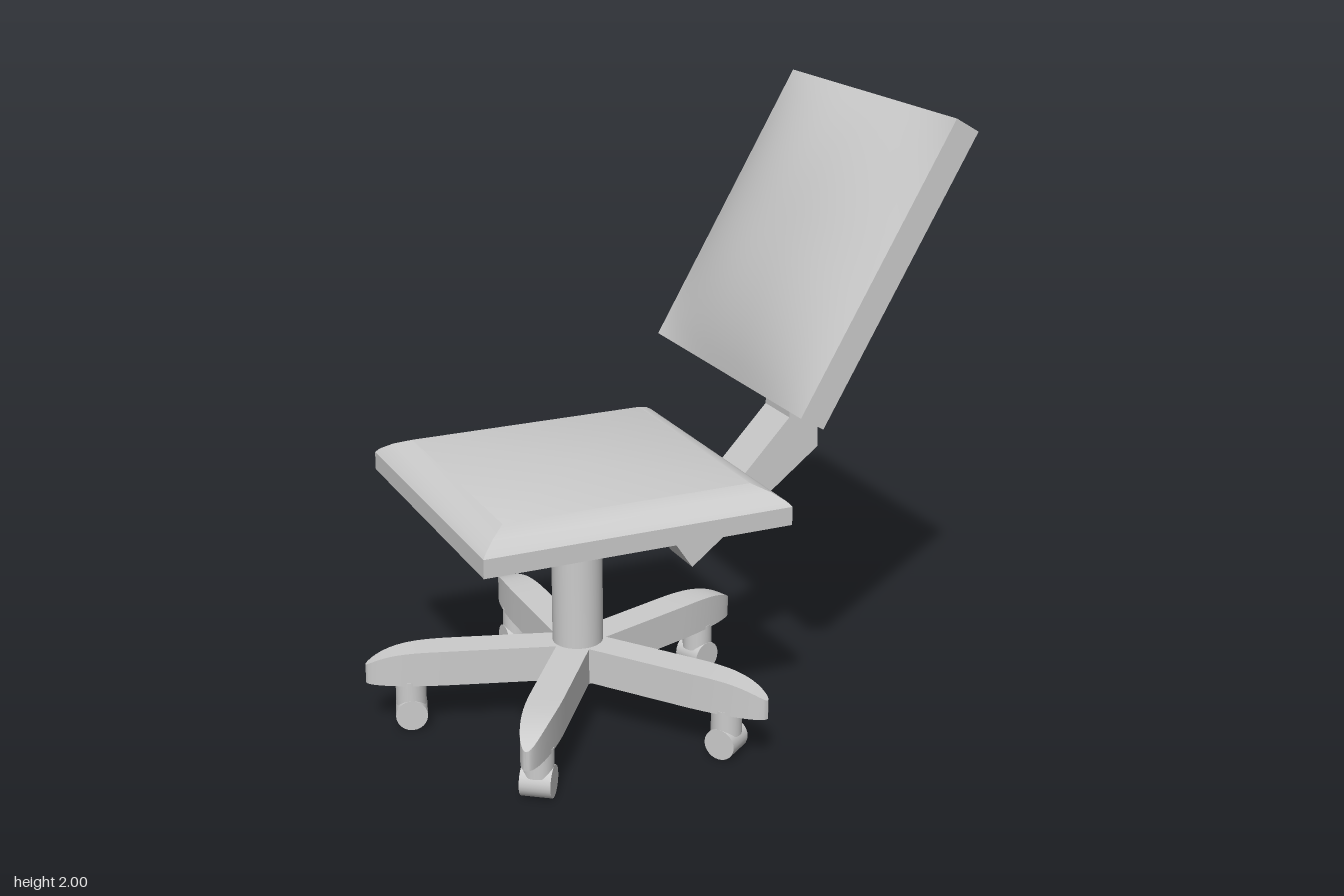
import * as THREE from 'three';
import { toCreasedNormals } from 'three/addons/utils/BufferGeometryUtils.js';

const CX = -0.23, CZ = 0.062; // axis of column, seat and base
const mat = new THREE.MeshStandardMaterial({ color: 0xcccccc });

function add(parent, name, geometry, x = 0, y = 0, z = 0) {
  const mesh = new THREE.Mesh(geometry, mat);
  mesh.name = name;
  mesh.position.set(x, y, z);
  parent.add(mesh);
  return mesh;
}

// Square cushion: profile of [half width, height] pairs, listed bottom to top
function squarePad(profile) {
  const pts = profile.map(([r, y]) => new THREE.Vector2(r * Math.SQRT2, y));
  return toCreasedNormals(new THREE.LatheGeometry(pts, 4, Math.PI / 4), 0.5);
}

// Base arm pointing to -z: flat bottom, top dropping to a rounded nose
function armGeometry() {
  const L = 0.695, n = 20;
  const g = new THREE.BoxGeometry(1, 1, 1, 2, 1, n);
  const p = g.attributes.position;
  for (let i = 0; i < p.count; i++) {
    const r = L * Math.sin((0.5 - p.getZ(i)) * Math.PI / 2);
    const nose = Math.max(0, (r - 0.42) / (L - 0.42));
    const half = 0.055 * Math.sqrt(Math.max(0, 1 - nose * nose));
    const drop = 0.055 * Math.pow(Math.max(0, (r - 0.35) / (L - 0.35)), 4.5);
    p.setXYZ(i, p.getX(i) * 2 * half, p.getY(i) > 0 ? 0.28 - drop : 0.16, -r);
  }
  return toCreasedNormals(g, 0.6);
}

// Domed front of the backrest, zero height along its edges
function domeGeometry(w, d, h) {
  const g = new THREE.PlaneGeometry(w, d, 20, 20).rotateX(-Math.PI / 2);
  const p = g.attributes.position;
  const f = (t) => 1 - Math.pow(Math.min(1, Math.abs(t)), 2.5);
  for (let i = 0; i < p.count; i++) {
    p.setY(i, h * f(p.getX(i) * 2 / w) * f(p.getZ(i) * 2 / d));
  }
  g.computeVertexNormals();
  return g;
}

export function createModel() {
  const chair = new THREE.Group();
  chair.name = 'officeChair';

  // Five-armed base with casters
  const base = new THREE.Group();
  base.name = 'base';
  base.position.set(CX, 0, CZ);
  chair.add(base);
  const armGeo = armGeometry();
  const stemGeo = new THREE.CylinderGeometry(0.05, 0.05, 0.09, 24);
  const wheelGeo = new THREE.CylinderGeometry(0.052, 0.052, 0.1, 24).rotateZ(Math.PI / 2);
  for (let i = 0; i < 5; i++) {
    const leg = new THREE.Group();
    leg.name = 'leg' + (i + 1);
    leg.rotation.y = i * Math.PI * 2 / 5;
    add(leg, 'arm', armGeo);
    add(leg, 'casterStem', stemGeo, 0, 0.125, -0.55);
    add(leg, 'casterWheel', wheelGeo, 0, 0.054, -0.55);
    base.add(leg);
  }

  // Column
  add(chair, 'column', new THREE.CylinderGeometry(0.083, 0.083, 0.635, 32), CX, 0.4675, CZ);

  // Seat cushion
  add(chair, 'seat', squarePad([
    [0, 0.78], [0.508, 0.78], [0.508, 0.84], [0.495, 0.855], [0.46, 0.878], [0.41, 0.9], [0, 0.9],
  ]), CX, 0, CZ);

  // Bent bracket from the seat's underside to the backrest
  const outline = [
    [0.01, 0.785], [0.01, 0.7], [0.145, 0.5], [0.605, 0.855], [0.588, 1.35],
    [0.505, 1.2], [0.495, 0.97], [0.195, 0.65], [0.17, 0.7], [0.17, 0.785],
  ].map(([x, y]) => new THREE.Vector2(x, y));
  const bracket = new THREE.ExtrudeGeometry(new THREE.Shape(outline), { depth: 0.165, bevelEnabled: false });
  add(chair, 'bracket', bracket, 0, 0, CZ + 0.003 - 0.0825);

  // Backrest leaning back: local y is its front, local x runs up its height
  const backrest = new THREE.Group();
  backrest.name = 'backrest';
  backrest.position.set(0.6325, 1.5175, CZ);
  backrest.rotation.z = Math.PI / 3;
  chair.add(backrest);
  add(backrest, 'backrestFrame', squarePad([
    [0, -0.052], [0.41, -0.052], [0.455, -0.034], [0.508, 0], [0.508, 0.092],
  ]));
  add(backrest, 'backrestCushion', domeGeometry(1.016, 1.016, 0.085), 0, 0.092, 0);

  return chair;
}
